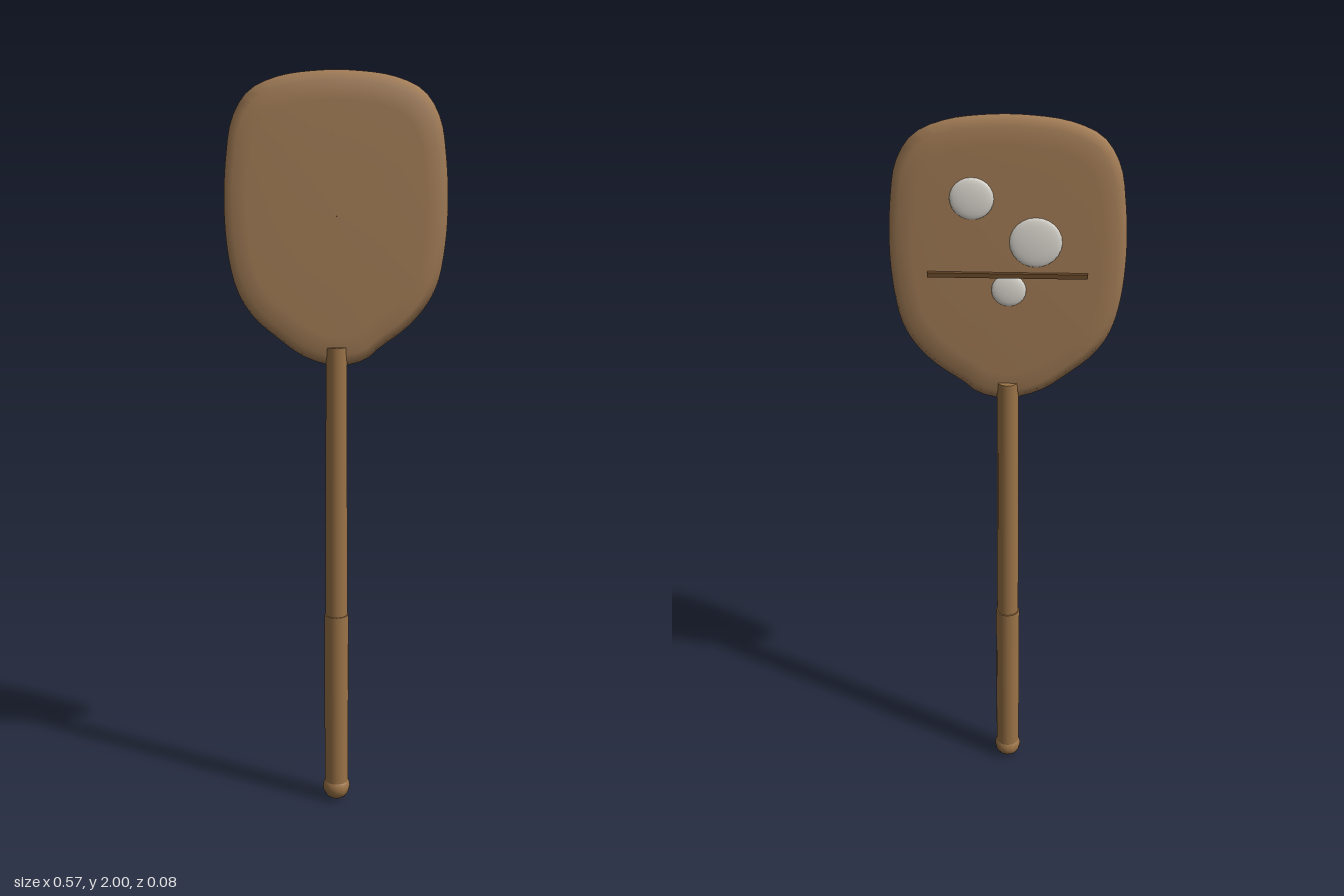
import * as THREE from 'three';

const material = (color) => new THREE.MeshStandardMaterial({ color });

function part(name, geometry, mat, x = 0, y = 0, z = 0) {
  const mesh = new THREE.Mesh(geometry, mat);
  mesh.name = name;
  mesh.position.set(x, y, z);
  return mesh;
}

// Thin lens-shaped blade: one outline scaled into rings from front centre, over the rim, to back centre
function bladeGeometry() {
  const outline = [
    [0, 1.25], [0.075, 1.265], [0.115, 1.298], [0.18, 1.345], [0.23, 1.4], [0.262, 1.46], [0.28, 1.55],
    [0.287, 1.66], [0.28, 1.79], [0.263, 1.885], [0.222, 1.95], [0.15, 1.985], [0.05, 2],
    [-0.05, 2], [-0.15, 1.985], [-0.222, 1.95], [-0.263, 1.885], [-0.28, 1.79], [-0.287, 1.66],
    [-0.277, 1.53], [-0.255, 1.445], [-0.217, 1.382], [-0.15, 1.322], [-0.085, 1.275],
  ].map(([x, y]) => new THREE.Vector3(x, y, 0));
  const points = new THREE.CatmullRomCurve3(outline, true).getSpacedPoints(72).slice(0, 72);
  const front = [[0.001, 0.0155], [0.45, 0.015], [0.8, 0.0135], [0.93, 0.0115]];
  const rings = [...front, [1, 0], ...front.map(([s, z]) => [s, -z]).reverse()];
  const n = points.length, centreY = 1.64, positions = [], index = [];
  for (const [s, z] of rings) {
    for (const p of points) positions.push(p.x * s, centreY + (p.y - centreY) * s, z);
  }
  for (let i = 0; i < rings.length - 1; i++) {
    for (let j = 0; j < n; j++) {
      const k = (j + 1) % n;
      const a = i * n + j, b = a + n, c = (i + 1) * n + k, d = i * n + k;
      index.push(a, b, c, a, c, d);
    }
  }
  const geometry = new THREE.BufferGeometry();
  geometry.setAttribute('position', new THREE.Float32BufferAttribute(positions, 3));
  geometry.setIndex(index);
  geometry.computeVertexNormals();
  return geometry;
}

export function createModel() {
  const model = new THREE.Group();
  model.name = 'woodenPeel';
  const bladeWood = material(0xa67f58);
  const handleWood = material(0x9c7448);
  const darkWood = material(0x6b4a2a);
  const flour = material(0xe6e2da);

  model.add(part('blade', bladeGeometry(), bladeWood));

  // Handle: slim shaft, thicker grip and rounded end
  model.add(part('shaft', new THREE.CylinderGeometry(0.028, 0.03, 0.78, 12), handleWood, 0, 0.91));
  model.add(part('grip', new THREE.CylinderGeometry(0.033, 0.033, 0.52, 12), handleWood, 0, 0.295));
  model.add(part('endKnob', new THREE.SphereGeometry(0.038, 12, 10), handleWood, 0, 0.038));

  // Raised seam across the back
  model.add(part('backSeam', new THREE.BoxGeometry(0.39, 0.012, 0.01), darkWood, 0, 1.605, -0.019));

  // Flour patches on the back
  for (const [x, y, r] of [[0.085, 1.8, 0.053], [-0.068, 1.69, 0.064], [-0.003, 1.563, 0.043]]) {
    const patch = new THREE.SphereGeometry(r, 20, 12).scale(1, 1, 0.008 / r);
    model.add(part('flourPatch', patch, flour, x, y, -0.015));
  }
  return model;
}
